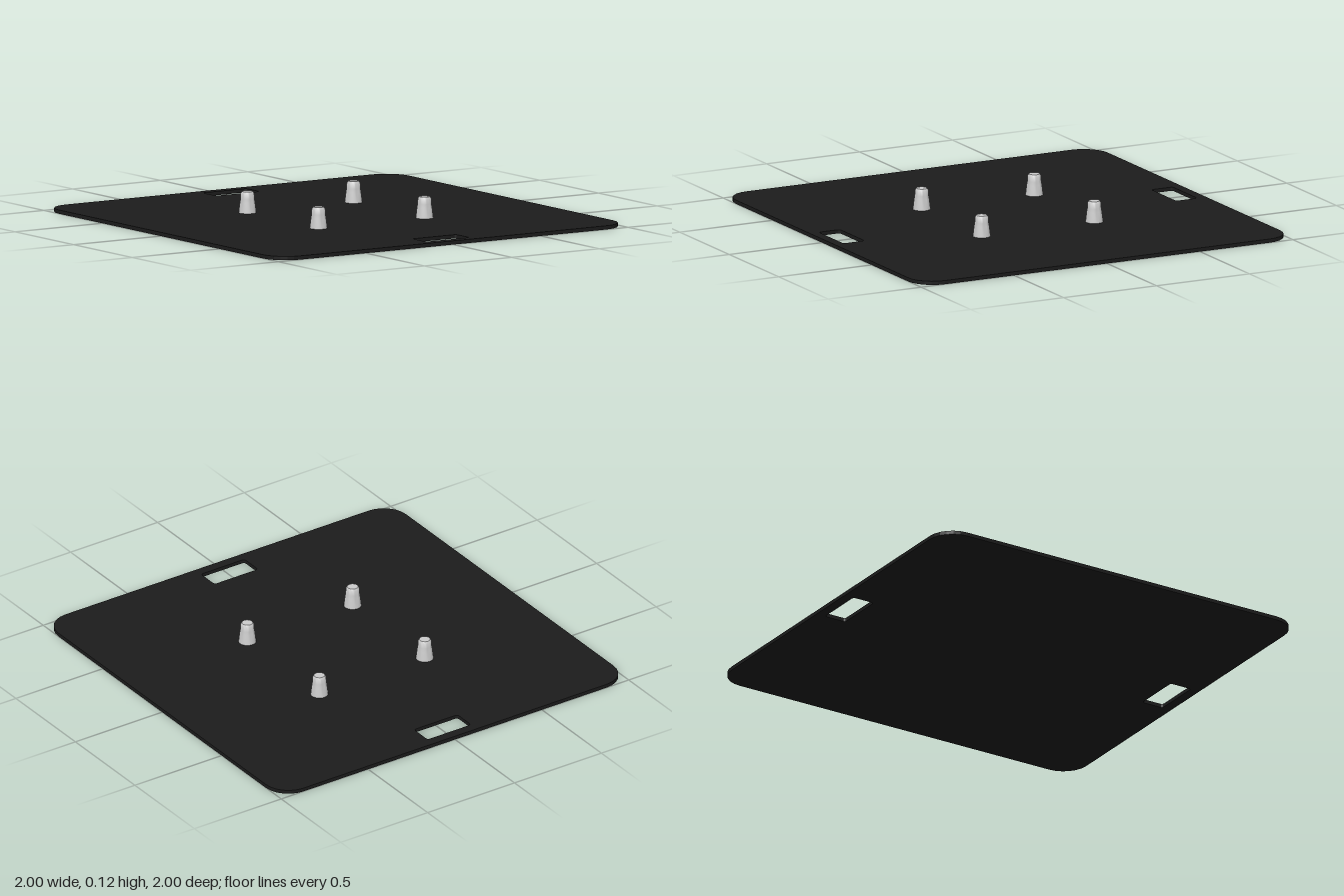
import * as THREE from 'three';
import { toCreasedNormals } from 'three/addons/utils/BufferGeometryUtils.js';

const PLATE_TOP = 0.018;

// Rectangle with rounded corners, centred on (cx, cy)
function roundedRect(path, cx, cy, hw, hh, r) {
  const q = Math.PI / 2;
  path.moveTo(cx + hw, cy - hh + r);
  path.absarc(cx + hw - r, cy + hh - r, r, 0, q);
  path.absarc(cx - hw + r, cy + hh - r, r, q, 2 * q);
  path.absarc(cx - hw + r, cy - hh + r, r, 2 * q, 3 * q);
  path.absarc(cx + hw - r, cy - hh + r, r, 3 * q, 4 * q);
  path.closePath();
  return path;
}

export function createModel() {
  const model = new THREE.Group();
  model.name = 'basePlateWithPins';

  // Flat plate with two carrying slots
  const outline = roundedRect(new THREE.Shape(), 0, 0, 1, 1, 0.127);
  for (const s of [-1, 1]) {
    outline.holes.push(roundedRect(new THREE.Path(), 0, s * 0.895, 0.125, 0.057, 0.014));
  }
  const plateGeometry = new THREE.ExtrudeGeometry(outline, {
    depth: PLATE_TOP, bevelEnabled: false, curveSegments: 3,
  });
  plateGeometry.rotateX(-Math.PI / 2);
  const plate = new THREE.Mesh(plateGeometry, new THREE.MeshStandardMaterial({ color: 0x1c1c1c }));
  plate.name = 'plate';
  model.add(plate);

  // Tapered locating pins with chamfered tops
  const profile = [
    [0, PLATE_TOP], [0.042, PLATE_TOP], [0.036, 0.068], [0.033, 0.085],
    [0.032, 0.111], [0.026, 0.12], [0, 0.12],
  ].map(([r, y]) => new THREE.Vector2(r, y));
  const pinGeometry = toCreasedNormals(new THREE.LatheGeometry(profile, 24), 0.6);
  const pinMaterial = new THREE.MeshStandardMaterial({ color: 0xcccccc });
  for (const x of [-1, 1]) {
    for (const z of [-1, 1]) {
      const pin = new THREE.Mesh(pinGeometry, pinMaterial);
      pin.name = (z > 0 ? 'front' : 'back') + (x > 0 ? 'Left' : 'Right') + 'Pin';
      pin.position.set(x * 0.303, 0, z * 0.303);
      model.add(pin);
    }
  }
  return model;
}
